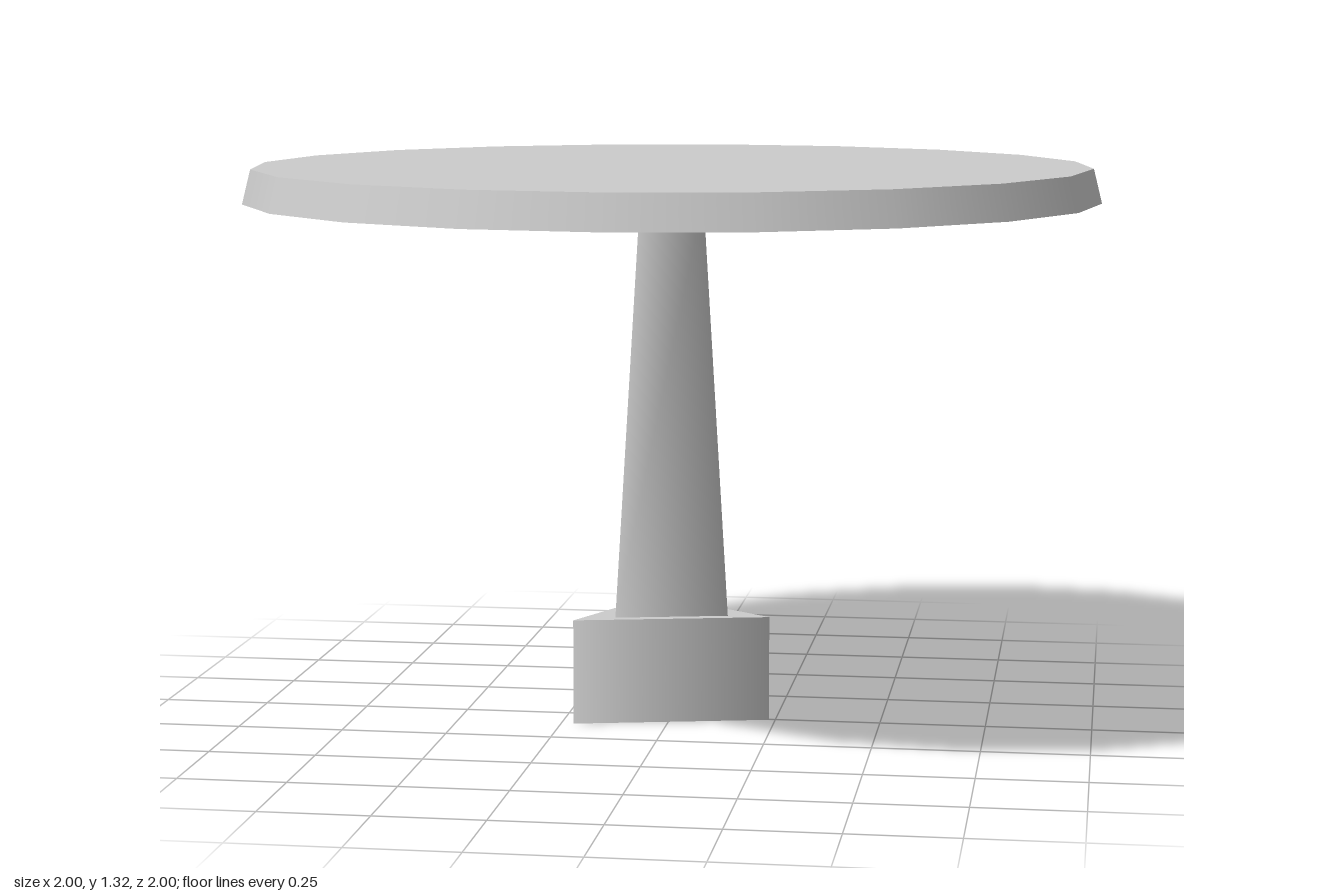
import * as THREE from 'three';

const material = new THREE.MeshStandardMaterial({ color: 0xcccccc });

// Corners (x, z) of the three-sided plan shared by pedestal and foot
const corners = [[0.235, 0.005], [-0.068, -0.225], [-0.22, 0.11]];

// Three-sided tapered column, smooth around its sides
function column(name, topScale, bottomScale, y0, y1) {
  const geometry = new THREE.CylinderGeometry(topScale, bottomScale, y1 - y0, 3);
  const position = geometry.attributes.position;
  const normal = geometry.attributes.normal;
  for (let i = 0; i < position.count; i++) {
    const x = position.getX(i), z = position.getZ(i);
    const scale = Math.hypot(x, z);
    if (scale < 1e-6) continue; // cap centre
    const turn = Math.round(Math.atan2(x, z) / (Math.PI * 2 / 3));
    const [cx, cz] = corners[(turn + 3) % 3];
    position.setX(i, cx * scale);
    position.setZ(i, cz * scale);
    // Side normals point out through the moved corners
    if (Math.abs(normal.getY(i)) < 0.9) {
      const r = Math.hypot(cx, cz);
      normal.setXYZ(i, cx / r, 0, cz / r);
    }
  }
  const mesh = new THREE.Mesh(geometry, material);
  mesh.name = name;
  mesh.position.y = (y0 + y1) / 2;
  return mesh;
}

export function createModel() {
  const group = new THREE.Group();
  group.name = 'pedestalTable';

  // Round top with a slightly slanted rim
  const top = new THREE.Mesh(new THREE.CylinderGeometry(0.98, 1, 0.08, 20), material);
  top.name = 'tableTop';
  top.position.y = 1.28;

  group.add(
    top,
    column('pedestal', 0.32, 0.575, 0.25, 1.24),
    column('foot', 1, 1, 0, 0.25)
  );
  return group;
}
